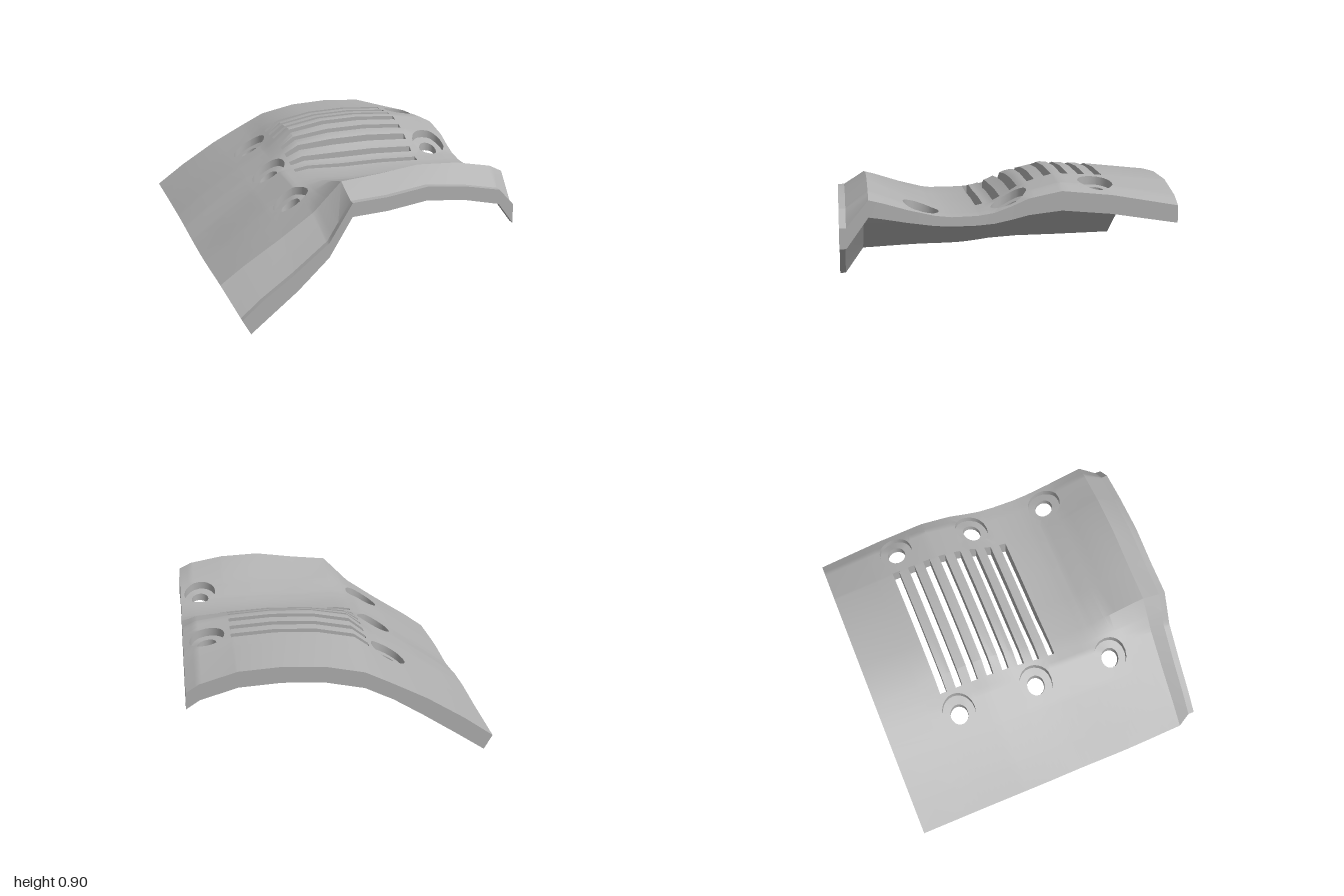
import * as THREE from 'three';
import { mergeVertices, toCreasedNormals } from 'three/addons/utils/BufferGeometryUtils.js';

// Cross-section stations across the plate, and the heights of five sections
const U = [-0.9, -0.73, -0.5, -0.3, -0.13, 0.1, 0.35, 0.6, 0.82, 0.9];
const SECTIONS = [
  [0.32, 0.45, 0.595, 0.7, 0.785, 0.835, 0.85, 0.835, 0.77, 0.72],   // back edge
  [0.31, 0.44, 0.59, 0.71, 0.85, 0.895, 0.905, 0.89, 0.86, 0.82],    // hump
  [0.27, 0.38, 0.555, 0.68, 0.7, 0.69, 0.695, 0.69, 0.685, 0.68],    // valley
  [0.255, 0.355, 0.505, 0.645, 0.82, 0.845, 0.88, 0.87, 0.83, 0.79], // front crest
  [0.09, 0.195, 0.335, 0.51, 0.74, 0.755, 0.795, 0.77, 0.73, 0.63],  // front lip
];
const EDGE_X = [-0.91, -0.9, -0.885, -0.867, -0.78];
const LIP_X = [-0.78, -0.66, -0.47, -0.255, -0.115, 0.1, 0.35, 0.6, 0.81, 0.905];
// Underside offset per station, sideways and down (down differs by section)
const DROP_X = [0.05, 0.045, 0.025, 0, 0, 0, 0, 0, 0, 0.003];
const DROP_Y = [
  [0.09, 0.1, 0.105, 0.1, 0.1, 0.1, 0.1, 0.1, 0.1, 0.105],
  [0.09, 0.1, 0.105, 0.1, 0.11, 0.105, 0.105, 0.105, 0.11, 0.115],
  [0.09, 0.1, 0.1, 0.1, 0.1, 0.12, 0.125, 0.13, 0.085, 0.055],
  [0.09, 0.1, 0.105, 0.1, 0.105, 0.1, 0.1, 0.1, 0.1, 0.1],
  [0.09, 0.1, 0.1, 0.09, 0.085, 0.085, 0.085, 0.085, 0.09, 0.12],
];
// Which section (fractional) is reached at each z
const Z = [-1, -0.6, -0.3, -0.2, -0.1, 0, 0.1, 0.2, 0.35, 0.45, 0.6, 0.75, 0.83, 0.96, 1];
const BLEND = [0, 0.7, 1, 1.14, 1.29, 1.6, 1.86, 1.97, 2, 2.1, 2.42, 2.82, 3, 4, 4];

function sample(keys, values, t) {
  let i = 0;
  while (i < keys.length - 2 && t > keys[i + 1]) i++;
  const f = (t - keys[i]) / (keys[i + 1] - keys[i]);
  return values[i] + (values[i + 1] - values[i]) * f;
}

// Blend one value per section along z
function blend(z, valueOf) {
  const s = sample(Z, BLEND, z);
  const row = Math.min(3, Math.floor(s));
  const a = valueOf(row);
  return a + (valueOf(row + 1) - a) * (s - row);
}

function top([u, z], sink = 0) {
  const sectionX = (r) => (r === 4 ? LIP_X : [EDGE_X[r], ...U.slice(1)]);
  return [
    blend(z, (r) => sample(U, sectionX(r), u)),
    blend(z, (r) => sample(U, SECTIONS[r], u)) - sink,
    z,
  ];
}

function bottom([u, z]) {
  const p = top([u, z]);
  // shallow recess under the slots, fading out towards the middle
  const inside = u > -0.228 && u < 0.1 && z > -0.705 && z < 0.565;
  const recess = inside ? 0.02 * (0.1 - u) / 0.32 : 0;
  const drop = blend(z, (r) => sample(U, DROP_Y[r], u));
  return [p[0] + sample(U, DROP_X, u), p[1] - drop + recess, z];
}

// Slots and counterbored holes
const SLOTS = Array.from({ length: 8 }, (_, i) => ({
  u0: -0.22, u1: 0.615, z0: -0.597 + i * 0.1047, z1: -0.553 + i * 0.1047,
}));
const HALF = 0.12, RIM = 0.106, BORE = 0.057, SINK = 0.05;
const HOLES = [];
for (const z of [-0.525, 0, 0.52]) {
  HOLES.push({ u: -0.35, z, cu: -0.35 }, { u: 0.765, z, cu: 0.763 + z * 0.012 });
}

function gridLines(list) {
  const sorted = [...list].sort((a, b) => a - b);
  return sorted.filter((v, i) => i === 0 || v - sorted[i - 1] > 1e-4);
}

function buildPlate() {
  const around = (c) => [-HALF, -0.08, -0.04, 0, 0.04, 0.08, HALF].map((d) => c + d);
  const us = gridLines([...U, -0.225, -0.22, 0.615, ...around(-0.35), ...around(0.765)]);
  const zs = gridLines([...Z, -0.71, -0.7, 0.56, 0.57, ...SLOTS.flatMap((s) => [s.z0, s.z1]),
    ...HOLES.flatMap((h) => around(h.z))]);
  const pos = [];
  const quad = (a, b, c, d) => pos.push(...a, ...b, ...d, ...b, ...c, ...d);

  // 0 = solid, 1 = open, 2 = filled by a hole patch
  const kind = (i, j) => {
    if (i < 0 || j < 0 || i >= us.length - 1 || j >= zs.length - 1) return 1;
    const u = (us[i] + us[i + 1]) / 2, z = (zs[j] + zs[j + 1]) / 2;
    if (SLOTS.some((s) => u > s.u0 && u < s.u1 && z > s.z0 && z < s.z1)) return 1;
    return HOLES.some((h) => Math.abs(u - h.u) < HALF && Math.abs(z - h.z) < HALF) ? 2 : 0;
  };

  // Skins, plus walls wherever a solid cell meets an opening
  for (let i = 0; i < us.length - 1; i++) {
    for (let j = 0; j < zs.length - 1; j++) {
      if (kind(i, j) !== 0) continue;
      const c = [[us[i], zs[j]], [us[i], zs[j + 1]], [us[i + 1], zs[j + 1]], [us[i + 1], zs[j]]];
      quad(...c.map((p) => top(p)));
      quad(...c.map((p) => bottom(p)).reverse());
      [[-1, 0], [0, 1], [1, 0], [0, -1]].forEach(([di, dj], k) => {
        if (kind(i + di, j + dj) !== 1) return;
        const p = c[k], q = c[(k + 1) % 4];
        quad(top(p), bottom(p), bottom(q), top(q));
      });
    }
  }

  // Round counterbored holes set into square patches
  for (const h of HOLES) {
    const inside = (list, c) => list.filter((v) => Math.abs(v - c) < HALF + 1e-4);
    const hu = inside(us, h.u), hz = inside(zs, h.z);
    const u0 = hu[0], u1 = hu[hu.length - 1], z0 = hz[0], z1 = hz[hz.length - 1];
    const loop = [
      ...hz.slice(0, -1).map((z) => [u0, z]),
      ...hu.slice(0, -1).map((u) => [u, z1]),
      ...hz.slice(1).reverse().map((z) => [u1, z]),
      ...hu.slice(1).reverse().map((u) => [u, z0]),
    ];
    const onCircle = ([u, z], r) => {
      const a = Math.atan2(z - h.z, u - h.u);
      return [h.cu + r * Math.cos(a), h.z + r * Math.sin(a)];
    };
    loop.forEach((p, k) => {
      const q = loop[(k + 1) % loop.length];
      const pr = onCircle(p, RIM), qr = onCircle(q, RIM);
      const pb = onCircle(p, BORE), qb = onCircle(q, BORE);
      quad(top(p), top(q), top(qr), top(pr));
      quad(top(pr, SINK), top(pr), top(qr), top(qr, SINK));
      quad(top(pr, SINK), top(qr, SINK), top(qb, SINK), top(pb, SINK));
      quad(bottom(pb), top(pb, SINK), top(qb, SINK), bottom(qb));
      quad(bottom(pb), bottom(qb), bottom(q), bottom(p));
    });
  }

  const geometry = new THREE.BufferGeometry();
  geometry.setAttribute('position', new THREE.Float32BufferAttribute(pos, 3));
  return toCreasedNormals(mergeVertices(geometry, 1e-5), 0.45);
}

export function createModel() {
  const group = new THREE.Group();
  group.name = 'ventedCoverPlate';
  const grey = new THREE.MeshStandardMaterial({ color: 0xb0b0b0 });
  grey.name = 'plain grey';
  const plate = new THREE.Mesh(buildPlate(), grey);
  plate.name = 'slottedPlate';
  group.add(plate);
  return group;
}
